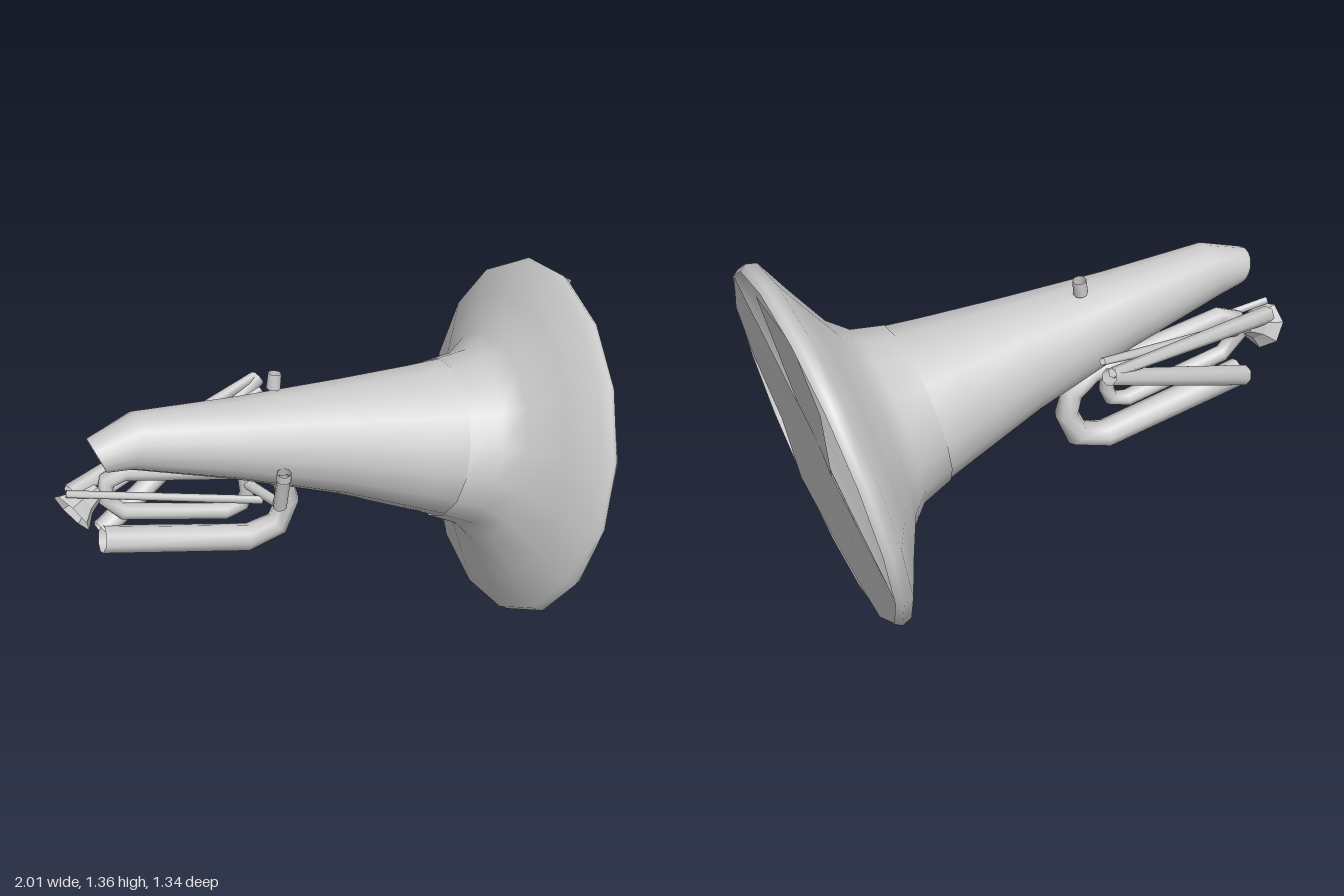
import * as THREE from 'three';

const material = new THREE.MeshStandardMaterial({ color: 0xcccccc, side: THREE.DoubleSide });
const facetMaterial = new THREE.MeshStandardMaterial({ color: 0xcccccc, side: THREE.DoubleSide, flatShading: true });
const V = (x, y, z) => new THREE.Vector3(x, y, z);
const UP = V(0, 1, 0);

// Shared horn axis, measured from the centre of the bell mouth
const mouth = V(0.75, 0.683, 0);
const axis = V(1, -0.22, 0.27).normalize();
const onAxis = (t, lift = 0) => mouth.clone().addScaledVector(axis, t).addScaledVector(UP, lift);

// One ring of points around a centre, square to direction d
function ring(center, d, radius, sides, ref = UP) {
  const a = new THREE.Vector3().crossVectors(d, ref).normalize();
  const b = new THREE.Vector3().crossVectors(d, a);
  return Array.from({ length: sides }, (_, j) => {
    const w = (j / sides) * Math.PI * 2 + 0.03;
    return center.clone().addScaledVector(a, Math.cos(w) * radius).addScaledVector(b, Math.sin(w) * radius);
  });
}

// Joins successive closed rings into a skin
function loft(rings) {
  const n = rings[0].length, index = [];
  for (let i = 0; i < rings.length - 1; i++) {
    for (let j = 0; j < n; j++) {
      const k = (j + 1) % n, p = i * n, q = p + n;
      index.push(p + j, p + k, q + j, p + k, q + k, q + j);
    }
  }
  const g = new THREE.BufferGeometry().setFromPoints(rings.flat());
  g.setIndex(index);
  g.computeVertexNormals();
  return g;
}

// Tube of changing radius along a bent path
function sweep(points, radii, sides, ref = UP) {
  return loft(points.map((p, i) => {
    const d = points[Math.min(i + 1, points.length - 1)].clone()
      .sub(points[Math.max(i - 1, 0)]).normalize();
    return ring(p, d, radii[i], sides, ref);
  }));
}

export function createModel() {
  const model = new THREE.Group();
  const add = (name, geometry, mat = material) => {
    const mesh = new THREE.Mesh(geometry, mat);
    mesh.name = name;
    model.add(mesh);
  };
  const rod = (name, from, to, r1, r2, sides = 8) => add(name, sweep([from, to], [r1, r2], sides));

  // Conical body (distance, radius, lift), bent down at its narrow open end
  const bodyProfile = [[-1.59, 0.106, 0.012], [-1.2, 0.152, 0.015], [-0.78, 0.218, 0.015],
    [-0.5, 0.275, 0.005], [-0.3, 0.318, 0]];
  const body = bodyProfile.map(([t, r, lift]) => ring(onAxis(t, lift), axis, r, 16));
  body.unshift(ring(V(-0.885, 1, -0.43), V(0.89, 0.36, 0.2).normalize(), 0.072, 16));
  add('hornBody', loft(body));

  // Flared bell, its neck overlapping the body like a collar
  const bellProfile = [[-0.38, 0.305], [-0.26, 0.34], [-0.19, 0.405], [-0.11, 0.555],
    [-0.045, 0.685], [-0.005, 0.697], [0.02, 0.68]];
  add('bell', loft(bellProfile.map(([t, r]) => ring(onAxis(t), axis, r, 16))));

  // Flat facets spanning the bell mouth; the notches open onto the inside of the bell
  const reach = [1, 0.85, 1, 1, 1, 1, 1, 1, 0.85, 0.65, 1, 1, 1, 0.25, 1, 1];
  const rise = [0, 0, 0.01, 0, 0, 0.01, 0, 0, 0.03, 0.04, 0.02, 0, 0.02, 0, 0, 0.01];
  const facets = ring(onAxis(0.015), axis, 0.68, 16)
    .map((p, j) => onAxis(0.005).lerp(p, reach[j]).addScaledVector(axis, rise[j]));
  add('mouthFacets', loft([facets, ring(onAxis(-0.005), axis, 0.001, 16)]), facetMaterial);

  // Coiled tubing hanging under the body, thinning as it winds inward
  const slant = (x, y) => V(x, y, -0.265 + 0.29 * x);
  const coil = [
    [-0.85, 0.58, 0.054], [-0.31, 0.45, 0.054], [-0.195, 0.485, 0.05], [-0.15, 0.59, 0.045],
    [-0.17, 0.68, 0.043], [-0.25, 0.745, 0.04], [-0.75, 0.855, 0.037], [-0.815, 0.83, 0.035],
    [-0.83, 0.76, 0.033], [-0.77, 0.685, 0.032], [-0.39, 0.59, 0.032], [-0.325, 0.61, 0.03],
    [-0.305, 0.66, 0.03], [-0.31, 0.73, 0.03],
  ];
  add('coiledTubing', sweep(coil.map(([x, y]) => slant(x, y)), coil.map((c) => c[2]), 8, V(-0.29, 0, 1)));

  // Valve post beside the body, its foot, and the small knob on top
  rod('valvePost', V(-0.31, 0.71, -0.13), V(-0.315, 0.85, -0.09), 0.027, 0.025);
  rod('valveCap', V(-0.315, 0.85, -0.09), V(-0.317, 0.88, -0.085), 0.03, 0.027);
  rod('valveFoot', slant(-0.31, 0.7), V(-0.31, 0.72, -0.12), 0.02, 0.02);
  rod('knob', V(-0.2, 1.09, -0.31), V(-0.19, 1.15, -0.312), 0.027, 0.025);

  // Long rods running along the back
  rod('backPipe', V(-0.83, 0.59, -0.55), V(-0.065, 0.95, -0.615), 0.042, 0.032);
  rod('upperBackRod', V(-0.95, 0.81, -0.54), V(-0.08, 0.96, -0.615), 0.034, 0.02, 6);
  rod('lowerBackRod', V(-0.93, 0.76, -0.51), V(-0.11, 0.95, -0.53), 0.028, 0.014, 6);

  // Flared mouthpiece and the thin lead pipe passing in front of the coil
  add('mouthpiece', sweep(
    [V(-0.965, 0.745, -0.51), V(-0.915, 0.77, -0.515), V(-0.85, 0.795, -0.52)],
    [0.09, 0.055, 0.035], 7), facetMaterial);
  rod('leadPipe', V(-0.985, 0.84, -0.5), V(-0.32, 0.69, -0.23), 0.014, 0.016, 6);

  return model;
}
